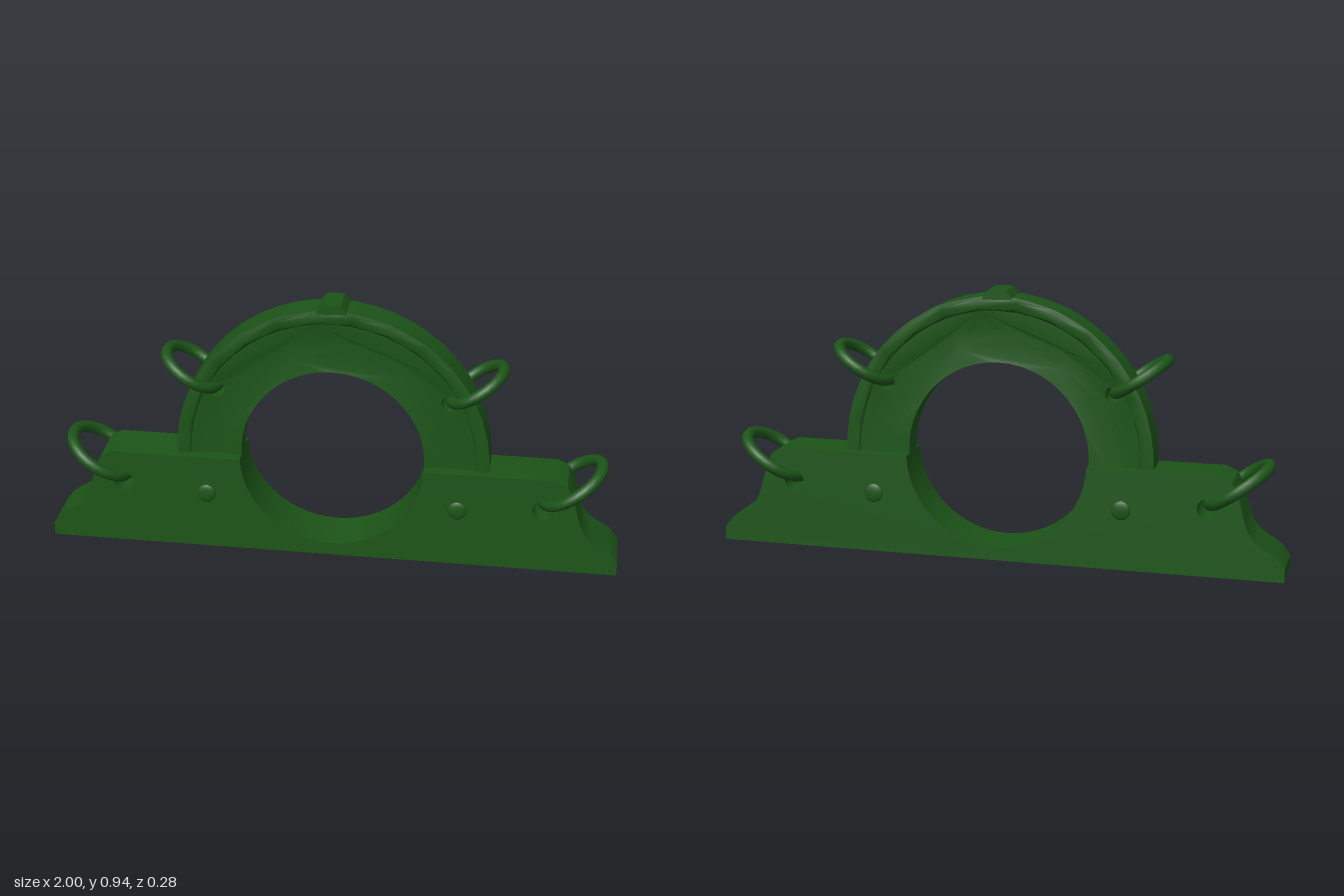
import * as THREE from 'three';
import { mergeGeometries, toCreasedNormals } from 'three/addons/utils/BufferGeometryUtils.js';

const CY = 0.365;        // height of the bore centre
const BORE = 0.32;
const LAP = 0.05;        // angle by which the arch sinks into the base
const SEG = 26;

const material = new THREE.MeshStandardMaterial({ color: 0x1c5418 });
const V = (x, y) => new THREE.Vector2(x, y);

function add(parent, name, geometry) {
  const mesh = new THREE.Mesh(geometry, material);
  mesh.name = name;
  parent.add(mesh);
  return mesh;
}

// Points on an arc about the origin
function arc(r, a0, a1, n = SEG) {
  return Array.from({ length: n + 1 }, (_, i) => {
    const a = a0 + (a1 - a0) * i / n;
    return V(r * Math.cos(a), r * Math.sin(a));
  });
}

function circlePath(x, y, r) {
  return new THREE.Path().absarc(x, y, r, 0, Math.PI * 2, true);
}

// Foot plate: scalloped ends, round cradle and tapered thickness
function baseGeometry() {
  const end = [[1, 0], [1, 0.045], [0.97, 0.085], [0.9, 0.13], [0.875, 0.16], [0.86, 0.2],
    [0.835, 0.29], [0.815, 0.33], [0.775, 0.35]];
  const right = end.map(([x, y]) => V(x, y));
  const left = end.map(([x, y]) => V(-x, y)).reverse();
  const cradle = arc(BORE, -0.047, -Math.PI + 0.047).map(p => V(p.x, p.y + CY));
  const shape = new THREE.Shape([...right, ...cradle, ...left]);
  for (const s of [-1, 1]) shape.holes.push(circlePath(s * 0.735, 0.235, 0.036));
  const g = new THREE.ExtrudeGeometry(shape, { depth: 2, bevelEnabled: false, curveSegments: 10 });
  g.translate(0, 0, -1);
  const p = g.attributes.position;
  for (let i = 0; i < p.count; i++) p.setZ(i, p.getZ(i) * (0.09 - 0.026 * p.getY(i)));
  return toCreasedNormals(g, 0.6);
}

// Arch: radius and half thickness from the rim, across the dished face, to the bore
const SECTION = [[0.545, 0.053], [0.53, 0.057], [0.505, 0.053], [0.495, 0.044],
  [0.43, 0.037], [0.38, 0.038], [BORE, 0.044]];

function halfThickness(r) {
  for (let i = 1; i < SECTION.length; i++) {
    const [r0, t0] = SECTION[i - 1], [r1, t1] = SECTION[i];
    if (r >= r1 - 1e-5) return t0 + (t1 - t0) * Math.min(1, Math.max(0, (r0 - r) / (r0 - r1)));
  }
  return SECTION.at(-1)[1];
}

function archGeometry() {
  const parts = [];
  const a0 = -LAP, a1 = Math.PI + LAP;
  for (let i = 1; i < SECTION.length; i++) {
    const outer = SECTION[i - 1][0], inner = SECTION[i][0];
    const shape = new THREE.Shape([...arc(outer, a0, a1), ...arc(inner, a1, a0)]);
    if (i === 4) for (const s of [-1, 1]) shape.holes.push(circlePath(s * 0.4, 0.23, 0.028));
    const face = new THREE.ShapeGeometry(shape, 10);
    const p = face.attributes.position;
    for (let k = 0; k < p.count; k++) p.setZ(k, halfThickness(Math.hypot(p.getX(k), p.getY(k))));
    parts.push(face, face.clone().rotateY(Math.PI));
  }
  // Rim and bore walls
  const wall = ([r, t]) => new THREE.CylinderGeometry(r, r, 2 * t, SEG, 1, true,
    Math.PI / 2 - LAP, Math.PI + 2 * LAP).rotateX(Math.PI / 2);
  parts.push(wall(SECTION[0]), wall(SECTION.at(-1)).scale(-1, 1, 1));
  // Walls of the ring holes
  for (const s of [-1, 1]) {
    parts.push(new THREE.CylinderGeometry(0.028, 0.028, 0.081, 20, 1, true)
      .rotateX(Math.PI / 2).scale(-1, 1, 1).translate(s * 0.4, 0.23, 0));
  }
  const g = mergeGeometries(parts);
  g.scale(1, 1.02, 1).translate(0, CY, 0);
  return toCreasedNormals(g, 0.65);
}

export function createModel() {
  const model = new THREE.Group();
  model.name = 'archClamp';

  add(model, 'base', baseGeometry());
  add(model, 'arch', archGeometry());

  // Small raised lug on the crown
  const lug = new THREE.Shape([V(-0.06, 0.9), V(0.06, 0.9), V(0.045, 0.925), V(0.03, 0.942),
    V(-0.03, 0.942), V(-0.045, 0.925)]);
  const lugGeometry = new THREE.ExtrudeGeometry(lug, { depth: 0.11, bevelEnabled: false });
  add(model, 'crownLug', toCreasedNormals(lugGeometry.translate(0, 0, -0.055), 0.6));

  for (const s of [-1, 1]) {
    const side = s > 0 ? 'left' : 'right';

    // Loose rings threaded through the holes
    const ring = (name, x, y, radius, tube, tilt) => {
      const g = new THREE.TorusGeometry(radius, tube, 10, 28).rotateX(Math.PI / 2);
      const mesh = add(model, name, g);
      mesh.rotation.z = s * tilt;
      mesh.position.set(s * x, y, 0);
    };
    ring(side + 'UpperRing', 0.49, 0.66, 0.105, 0.02, 0.585);
    ring(side + 'LowerRing', 0.83, 0.305, 0.121, 0.021, 0.61);

    // Domed rivet heads on both faces
    for (const f of [-1, 1]) {
      const rivet = add(model, side + (f > 0 ? 'FrontRivet' : 'BackRivet'),
        new THREE.SphereGeometry(0.034, 16, 10));
      rivet.scale.z = 0.3;
      rivet.position.set(s * 0.44, 0.21, f * 0.084);
    }
  }
  return model;
}
